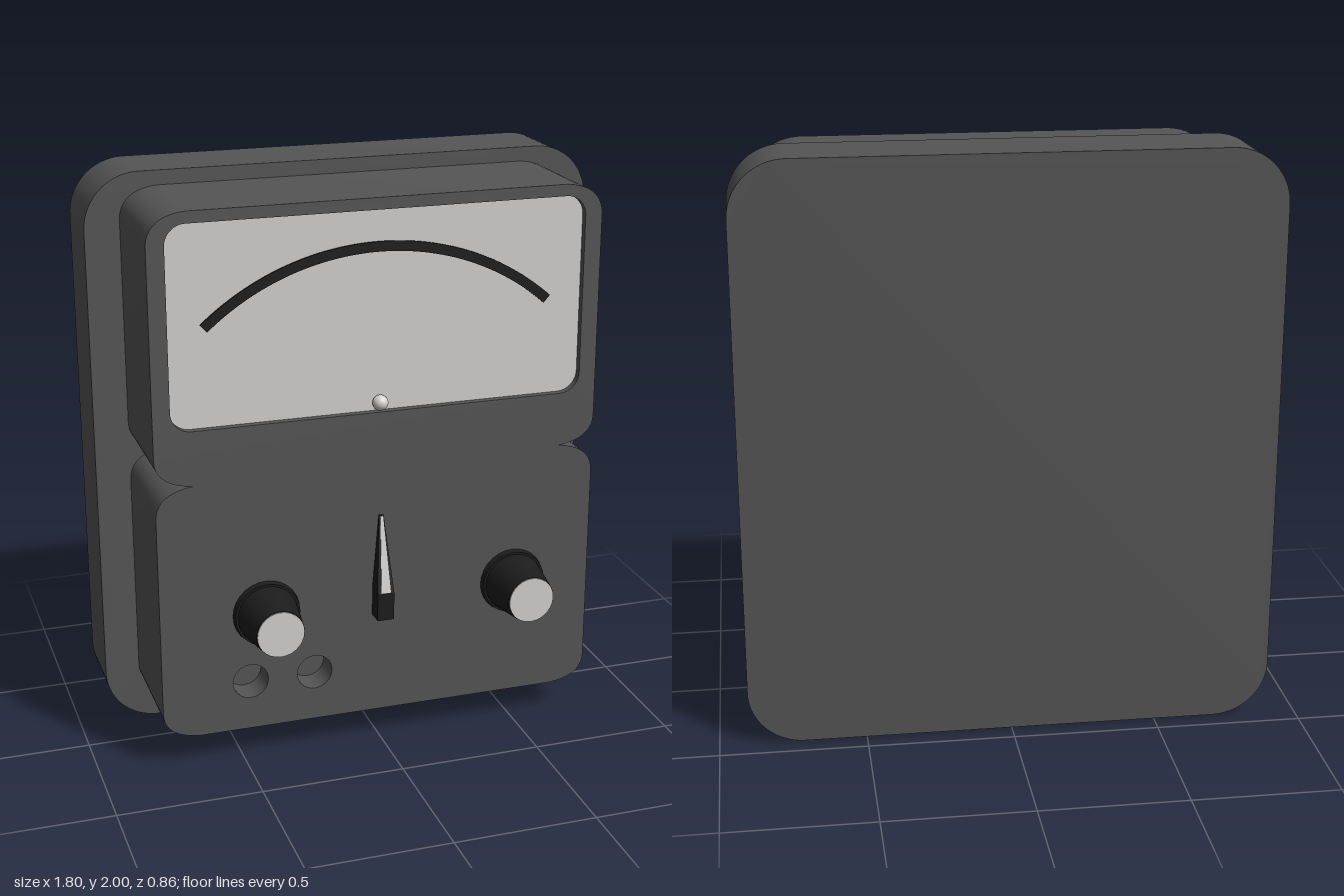
import * as THREE from 'three';
import { toCreasedNormals } from 'three/addons/utils/BufferGeometryUtils.js';

const mat = (name, color) => {
  const m = new THREE.MeshStandardMaterial({ color });
  m.name = name;
  return m;
};

function roundedRect(path, x0, y0, x1, y1, r) {
  path.moveTo(x0 + r, y0);
  path.lineTo(x1 - r, y0);
  path.absarc(x1 - r, y0 + r, r, -Math.PI / 2, 0);
  path.lineTo(x1, y1 - r);
  path.absarc(x1 - r, y1 - r, r, 0, Math.PI / 2);
  path.lineTo(x0 + r, y1);
  path.absarc(x0 + r, y1 - r, r, Math.PI / 2, Math.PI);
  path.lineTo(x0, y0 + r);
  path.absarc(x0 + r, y0 + r, r, Math.PI, Math.PI * 1.5);
  return path;
}

function extrude(shape, z0, z1) {
  const g = new THREE.ExtrudeGeometry(shape, { depth: z1 - z0, bevelEnabled: false, curveSegments: 10 });
  g.translate(0, 0, z0);
  return toCreasedNormals(g, 0.6);
}

export function createModel() {
  const group = new THREE.Group();
  const casing = mat('casing grey', 0x555555);
  const pale = mat('pale grey', 0xd2d1cf);
  const black = mat('black', 0x1c1c1c);
  const FRONT = 0.25;

  const add = (name, geometry, material, parent = group) => {
    const m = new THREE.Mesh(geometry, material);
    m.name = name;
    parent.add(m);
    return m;
  };

  // Wide rear shell
  add('rearShell', extrude(roundedRect(new THREE.Shape(), -0.9, 0, 0.9, 2, 0.19), -0.43, -0.16), casing);

  // Front housing: two rounded lobes meeting in a pinched waist
  const body = new THREE.Shape();
  body.moveTo(-0.65, 0.11);
  body.lineTo(0.65, 0.11);
  body.quadraticCurveTo(0.78, 0.12, 0.78, 0.21);
  body.lineTo(0.78, 0.92);
  body.bezierCurveTo(0.78, 0.99, 0.73, 1.02, 0.65, 1.03);
  body.bezierCurveTo(0.73, 1.035, 0.78, 1.07, 0.78, 1.13);
  body.lineTo(0.78, 1.85);
  body.quadraticCurveTo(0.77, 1.94, 0.65, 1.95);
  body.lineTo(-0.65, 1.95);
  body.quadraticCurveTo(-0.77, 1.94, -0.78, 1.85);
  body.lineTo(-0.78, 1.13);
  body.bezierCurveTo(-0.78, 1.07, -0.73, 1.035, -0.65, 1.03);
  body.bezierCurveTo(-0.73, 1.02, -0.78, 0.99, -0.78, 0.92);
  body.lineTo(-0.78, 0.21);
  body.quadraticCurveTo(-0.78, 0.12, -0.65, 0.11);
  const windowRect = [-0.72, 1.22, 0.72, 1.91, 0.07];
  body.holes.push(roundedRect(new THREE.Path(), ...windowRect));
  const sockets = [[-0.47, 0.29], [-0.24, 0.29]];
  for (const [x, y] of sockets) body.holes.push(new THREE.Path().absarc(x, y, 0.063, 0, Math.PI * 2));
  add('frontHousing', extrude(body, -0.16, FRONT), casing);

  // Socket floors
  for (const [x, y] of sockets) {
    add('socketFloor', new THREE.CircleGeometry(0.064, 24).translate(x, y, 0.15), casing);
  }

  // Recessed dial with its scale arc and pivot screw
  const dialZ = 0.225;
  add('dialFace', extrude(roundedRect(new THREE.Shape(), ...windowRect), dialZ - 0.008, dialZ), pale);
  const arc = new THREE.Shape();
  const a0 = Math.PI / 2 - 0.725, a1 = Math.PI / 2 + 0.725;
  arc.absarc(0, 0.883, 0.917, a0, a1, false);
  arc.absarc(0, 0.883, 0.883, a1, a0, true);
  const arcGeo = new THREE.ExtrudeGeometry(arc, { depth: 0.006, bevelEnabled: false, curveSegments: 32 });
  add('scaleArc', arcGeo.translate(0, 0, dialZ), black);
  add('pivotScrew', new THREE.SphereGeometry(0.027, 16, 12).translate(0, 1.25, 0.24), pale);

  // Two tapered knobs with pale end caps
  for (const x of [-0.41, 0.49]) {
    const knob = new THREE.Group();
    knob.name = 'knob';
    knob.position.set(x, 0.54, FRONT);
    knob.rotation.x = Math.PI / 2;
    const profile = [[0.118, 0], [0.114, 0.022], [0.106, 0.022], [0.083, 0.18], [0, 0.18]]
      .map(([r, h]) => new THREE.Vector2(r, h));
    add('knobBody', toCreasedNormals(new THREE.LatheGeometry(profile, 28).toNonIndexed(), 0.5), black, knob);
    add('knobCap', new THREE.CylinderGeometry(0.081, 0.081, 0.004, 28).translate(0, 0.182, 0), pale, knob);
    group.add(knob);
  }

  // Wedge selector pointer, narrowing and sloping to its tip
  const wedge = new THREE.BoxGeometry(0.06, 0.37, 0.06);
  const p = wedge.attributes.position;
  for (let i = 0; i < p.count; i++) {
    const tip = p.getY(i) > 0;
    const top = p.getZ(i) > 0;
    p.setXYZ(i, Math.sign(p.getX(i)) * (tip ? 0.008 : 0.03), tip ? 0.85 : 0.48,
      FRONT + (top ? (tip ? 0.006 : 0.06) : 0));
  }
  // Straight grip end: the wedge starts above it
  for (let i = 0; i < p.count; i++) if (p.getY(i) < 0.5) p.setY(i, 0.58);
  wedge.computeVertexNormals();
  add('pointerBlade', wedge, black);
  add('pointerGrip', new THREE.BoxGeometry(0.06, 0.1, 0.06).translate(0, 0.53, FRONT + 0.03), black);

  // Pale stripe along the pointer
  const stripe = new THREE.Shape();
  stripe.moveTo(-0.017, 0);
  stripe.lineTo(0.017, 0);
  stripe.lineTo(0.005, 0.27);
  stripe.lineTo(-0.005, 0.27);
  const stripeMesh = add('pointerStripe',
    new THREE.ExtrudeGeometry(stripe, { depth: 0.003, bevelEnabled: false }), pale);
  stripeMesh.position.set(0, 0.582, FRONT + 0.06);
  stripeMesh.rotation.x = -Math.atan2(0.054, 0.27);

  return group;
}
